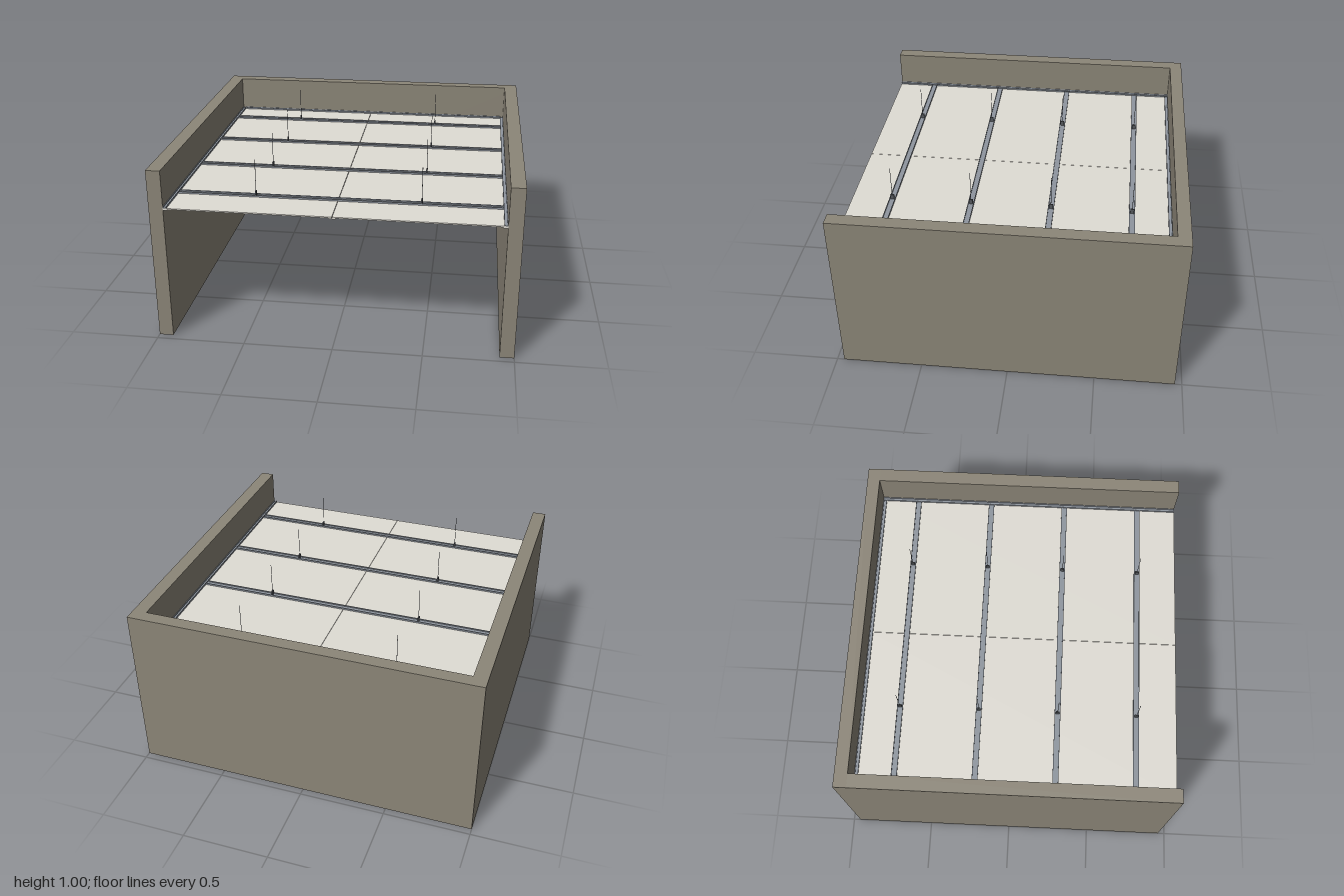
import * as THREE from 'three';

const wallMat = new THREE.MeshStandardMaterial({ color: 0x8c8678 });
wallMat.name = 'wall render';
const boardMat = new THREE.MeshStandardMaterial({ color: 0xe0ddd5 });
boardMat.name = 'plasterboard';
const steelMat = new THREE.MeshStandardMaterial({ color: 0x8f969f });
steelMat.name = 'galvanised steel';
const hangerMat = new THREE.MeshStandardMaterial({ color: 0x55595e });
hangerMat.name = 'hanger steel';

// Box given by its limits on each axis
function box(name, mat, [x0, x1], [y0, y1], [z0, z1]) {
  const mesh = new THREE.Mesh(new THREE.BoxGeometry(x1 - x0, y1 - y0, z1 - z0), mat);
  mesh.position.set((x0 + x1) / 2, (y0 + y1) / 2, (z0 + z1) / 2);
  mesh.name = name;
  return mesh;
}

// Open-topped steel channel running along x
function channel(name, length, width, height) {
  const w = width / 2, t = 0.003;
  const shape = new THREE.Shape([
    [-w, 0], [w, 0], [w, height], [w - t, height], [w - t, t],
    [-w + t, t], [-w + t, height], [-w, height],
  ].map(([x, y]) => new THREE.Vector2(x, y)));
  const geo = new THREE.ExtrudeGeometry(shape, { depth: length, bevelEnabled: false });
  geo.translate(0, 0, -length / 2).rotateY(Math.PI / 2);
  const mesh = new THREE.Mesh(geo, steelMat);
  mesh.name = name;
  return mesh;
}

export function createModel() {
  const model = new THREE.Group();
  model.name = 'suspendedCeilingRoom';
  const front = 0.96, back = -0.96, inner = 0.92, backInner = -0.885;
  const boardBottom = 0.779, boardTop = 0.786, channelHeight = 0.01;

  // Walls
  model.add(box('backWall', wallMat, [-1, 1], [0, 1], [back, backInner]));
  model.add(box('leftWall', wallMat, [inner, 1], [0, 1], [backInner, front]));
  model.add(box('rightWall', wallMat, [-1, -inner], [0, 1], [backInner, front]));

  // Two ceiling boards with a fine joint, and joint strips below
  const gap = 0.001;
  model.add(box('leftCeilingBoard', boardMat, [gap, inner], [boardBottom, boardTop], [backInner, front]));
  model.add(box('rightCeilingBoard', boardMat, [-inner, -gap], [boardBottom, boardTop], [backInner, front]));
  for (const [name, x0, x1] of [
    ['centreJointStrip', -0.02, 0.02],
    ['leftJointStrip', 0.895, inner],
    ['rightJointStrip', -inner, -0.895],
  ]) model.add(box(name, boardMat, [x0, x1], [0.774, boardBottom], [backInner, front]));

  // Perimeter channels
  for (const side of [-1, 1]) {
    const edge = channel(side > 0 ? 'leftEdgeChannel' : 'rightEdgeChannel', front - backInner, 0.02, channelHeight);
    edge.rotation.y = Math.PI / 2;
    edge.position.set(side * 0.91, boardTop, (front + backInner) / 2);
    model.add(edge);
  }
  const rear = channel('backEdgeChannel', 1.8, 0.02, channelHeight);
  rear.position.set(0, boardTop, backInner + 0.01);
  model.add(rear);

  // Cross runners, each hung on two rods
  for (const z of [-0.66, -0.197, 0.265, 0.725]) {
    const runner = channel('crossRunner', 1.8, 0.034, channelHeight);
    runner.position.set(0, boardTop, z);
    model.add(runner);
    for (const x of [-0.46, 0.46]) {
      const hanger = new THREE.Group();
      hanger.name = 'hanger';
      hanger.add(box('hangerClip', hangerMat, [-0.004, 0.004], [boardTop + 0.002, 0.818], [-0.011, 0.011]));
      const rod = new THREE.Mesh(new THREE.CylinderGeometry(0.0015, 0.0015, 0.19, 8), hangerMat);
      rod.name = 'hangerRod';
      rod.position.y = 0.905;
      hanger.add(rod);
      hanger.position.set(x, 0, z);
      model.add(hanger);
    }
  }
  return model;
}
